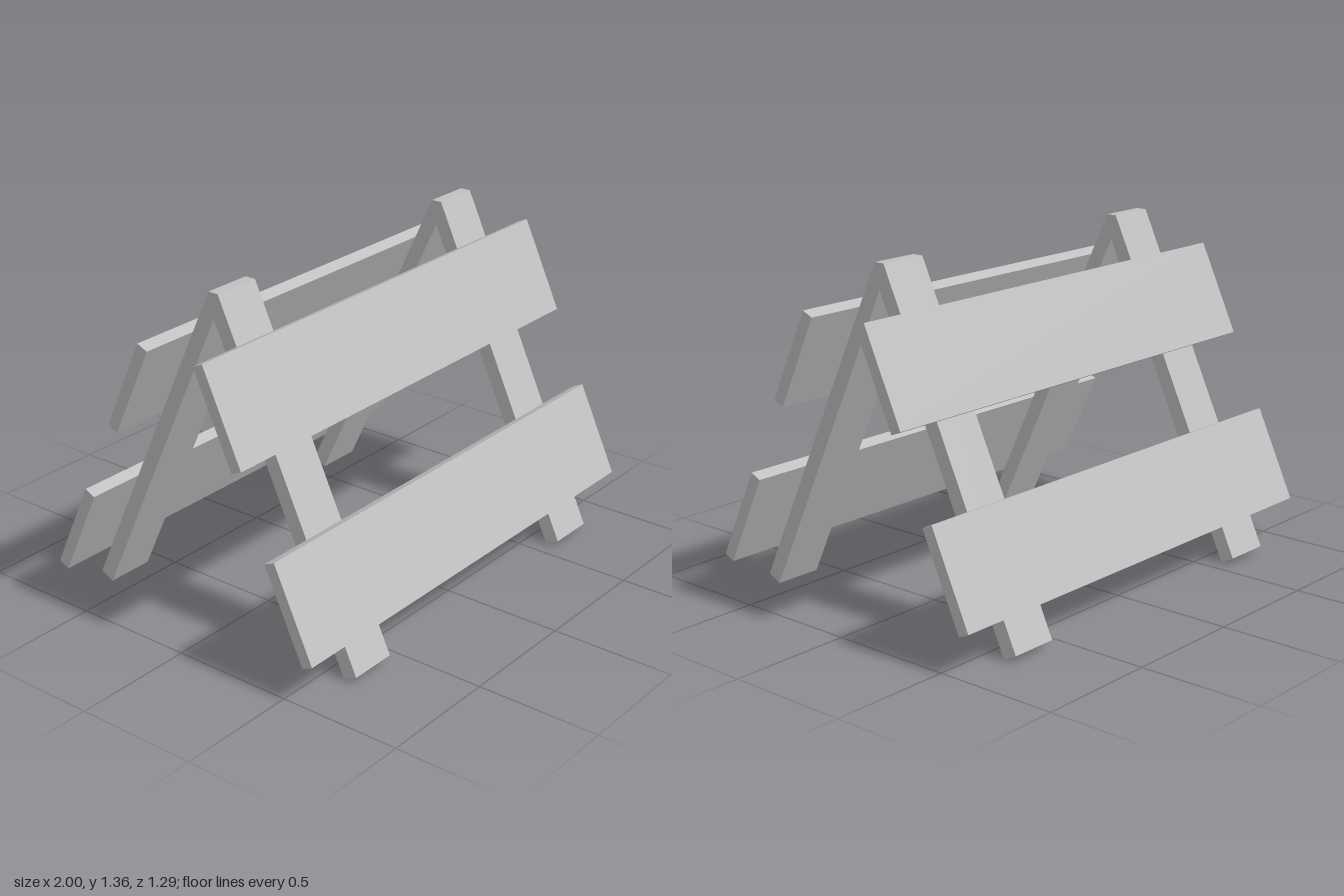
import * as THREE from 'three';

// Extrudes a (z, y) side profile along x, centred on the given x
function sideProfile(points, width, x) {
  const shape = new THREE.Shape(points.map(([z, y]) => new THREE.Vector2(z, y)));
  const geometry = new THREE.ExtrudeGeometry(shape, { depth: width, bevelEnabled: false });
  geometry.translate(0, 0, -width / 2);
  geometry.rotateY(-Math.PI / 2);
  geometry.translate(x, 0, 0);
  return geometry;
}

export function createModel() {
  const model = new THREE.Group();
  model.name = 'aFrameBarricade';
  const grey = new THREE.MeshStandardMaterial({ color: 0xc0c0c0, flatShading: true });
  grey.name = 'grey';

  // Sloping leg, cut upright at the ridge and flat on top
  const legProfile = [[0, 1.26], [0.59, 0], [0.645, 0.029], [0.022, 1.36], [0, 1.36]];
  // Planks lying on the outer face of the legs
  const planks = {
    upperPlank: [[0.109, 1.183], [0.277, 0.823], [0.321, 0.843], [0.153, 1.203]],
    lowerPlank: [[0.419, 0.517], [0.587, 0.157], [0.631, 0.177], [0.463, 0.537]],
  };

  // The two sides are identical, turned half round
  for (const [name, turn] of [['front', 0], ['back', Math.PI]]) {
    const side = new THREE.Group();
    side.name = name + 'Frame';
    side.rotation.y = turn;
    const add = (part, geometry) => {
      const mesh = new THREE.Mesh(geometry, grey);
      mesh.name = name + part;
      side.add(mesh);
    };
    for (const x of [-0.668, 0.668]) add('Leg', sideProfile(legProfile, 0.2, x));
    for (const [part, profile] of Object.entries(planks)) {
      add(part[0].toUpperCase() + part.slice(1), sideProfile(profile, 2, 0));
    }
    model.add(side);
  }
  return model;
}
